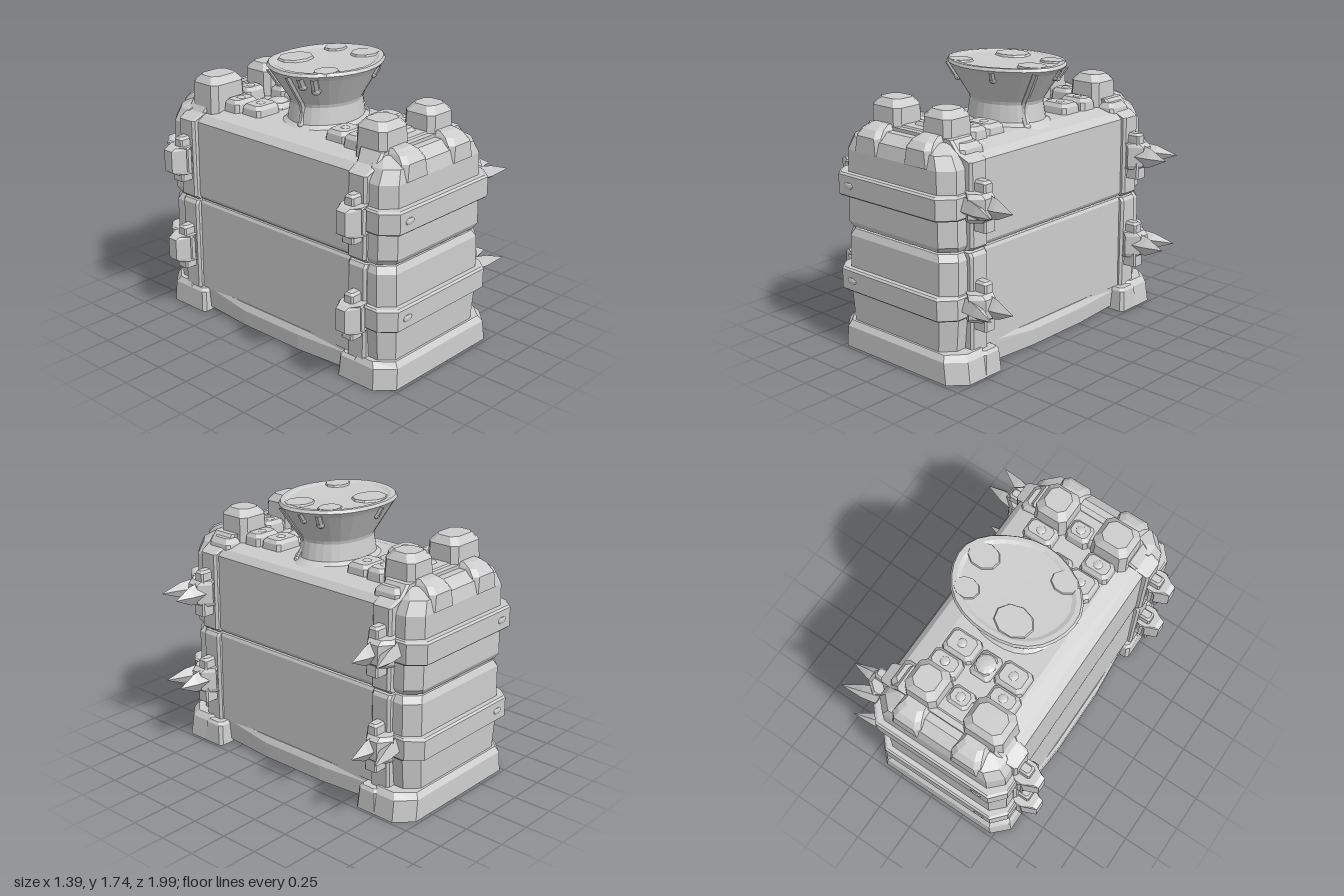
import * as THREE from 'three';

const stone = new THREE.MeshStandardMaterial({ color: 0xcccccc });
stone.name = 'grey stone';

export function createModel() {
  const root = new THREE.Group();
  root.name = 'stoneOven';

  const add = (name, geo, parent = root) => {
    const g = geo.index ? geo.toNonIndexed() : geo;
    g.computeVertexNormals(); // faceted look
    const m = new THREE.Mesh(g, stone);
    m.name = name;
    parent.add(m);
    return m;
  };

  // Stacked chamfered rectangles: each ring is [y, x0, x1, z0, z1, cutX, cutZ]
  const loft = (name, rings, s = 1, parent = root) => {
    const loops = rings.map(([y, x0, x1, za, zb, cx = 0.03, cz = cx]) => {
      const z0 = Math.min(za * s, zb * s), z1 = Math.max(za * s, zb * s);
      return [
        [x1, z0 + cz], [x1, z1 - cz], [x1 - cx, z1], [x0 + cx, z1],
        [x0, z1 - cz], [x0, z0 + cz], [x0 + cx, z0], [x1 - cx, z0],
      ].map(([x, z]) => [x, y, z]);
    });
    const pos = [];
    const tri = (...p) => p.forEach((v) => pos.push(...v));
    const mid = (l) => [0, 1, 2].map((k) => l.reduce((t, v) => t + v[k], 0) / 8);
    const last = loops[loops.length - 1];
    for (let i = 0; i < 8; i++) {
      const j = (i + 1) % 8;
      for (let r = 0; r + 1 < loops.length; r++) {
        const a = loops[r], b = loops[r + 1];
        tri(a[i], b[i], b[j]);
        tri(a[i], b[j], a[j]);
      }
      tri(mid(last), last[j], last[i]);
      tri(mid(loops[0]), loops[0][i], loops[0][j]);
    }
    const g = new THREE.BufferGeometry();
    g.setAttribute('position', new THREE.Float32BufferAttribute(pos, 3));
    return add(name, g, parent);
  };

  // Rough block with a bevelled top; b is the bevel, cut the corner chamfer
  const block = (name, x0, x1, z0, z1, y0, y1, s, parent, b = 0.025, cut = 0.02) =>
    loft(name, [
      [y0, x0 - 0.01, x1 + 0.01, z0 - 0.01, z1 + 0.01, cut],
      [y1 - b * 1.3, x0, x1, z0, z1, cut],
      [y1, x0 + b, x1 - b, z0 + b, z1 - b, cut],
    ], s, parent);

  // Stout four-sided horn between two points
  const horn = (name, a, b, r, flat, parent) => {
    const p = new THREE.Vector3(...a);
    const d = new THREE.Vector3(...b).sub(p);
    const g = new THREE.LatheGeometry(
      [[0, 0], [r, 0], [r * 0.72, 0.5], [0, 1]].map(([x, y]) => new THREE.Vector2(x, y * d.length())), 4);
    g.scale(1, 1, flat);
    g.applyQuaternion(new THREE.Quaternion().setFromUnitVectors(new THREE.Vector3(0, 1, 0), d.normalize()));
    g.translate(p.x, p.y, p.z);
    return add(name, g, parent);
  };

  // Middle body: bowed plinth, two wall tiers and a bevelled roof
  loft('plinth', [
    [0.025, -0.54, 0.415, -0.66, 0.66, 0.035, 0.42],
    [0.13, -0.545, 0.42, -0.66, 0.66, 0.035, 0.42],
    [0.17, -0.525, 0.40, -0.66, 0.66, 0.015, 0.42],
  ]);
  loft('lowerWall', [
    [0.16, -0.52, 0.395, -0.68, 0.68],
    [0.755, -0.515, 0.39, -0.68, 0.68],
    [0.773, -0.505, 0.38, -0.68, 0.68],
  ]);
  loft('seamCore', [[0.7, -0.49, 0.35, -0.8, 0.8], [0.85, -0.49, 0.35, -0.8, 0.8]]);
  loft('upperWall', [
    [0.785, -0.505, 0.38, -0.68, 0.68],
    [0.81, -0.52, 0.395, -0.68, 0.68],
    [1.3, -0.515, 0.39, -0.68, 0.68],
    [1.34, -0.47, 0.35, -0.68, 0.68],
    [1.365, -0.36, 0.24, -0.68, 0.68],
  ]);

  // The two ends mirror each other
  for (const s of [1, -1]) {
    const end = new THREE.Group();
    end.name = s > 0 ? 'frontEnd' : 'backEnd';
    root.add(end);

    loft('foot', [
      [0.005, -0.575, 0.485, 0.6, 0.98, 0.1, 0.1],
      [0.14, -0.565, 0.465, 0.62, 0.975, 0.1, 0.1],
      [0.175, -0.545, 0.435, 0.64, 0.95, 0.09, 0.1],
    ], s, end);
    block('footCornerLeft', 0.33, 0.475, 0.6, 0.75, 0.005, 0.16, s, end, 0.015);
    block('footCornerRight', -0.565, -0.42, 0.6, 0.75, 0.005, 0.16, s, end, 0.015);

    // Tower core and the wider rib behind it
    loft('lowerTower', [
      [0.15, -0.51, 0.36, 0.7, 0.935, 0.075],
      [0.4, -0.53, 0.385, 0.7, 0.945, 0.08],
      [0.73, -0.53, 0.385, 0.7, 0.94, 0.08],
      [0.772, -0.51, 0.36, 0.7, 0.92, 0.08],
    ], s, end);
    loft('upperTower', [
      [0.785, -0.515, 0.365, 0.7, 0.925, 0.08],
      [0.82, -0.53, 0.385, 0.7, 0.945, 0.08],
      [1.27, -0.525, 0.375, 0.7, 0.94, 0.08],
      [1.35, -0.48, 0.33, 0.7, 0.92, 0.07],
      [1.40, -0.41, 0.26, 0.66, 0.85, 0.06],
    ], s, end);
    loft('lowerRib', [
      [0.15, -0.55, 0.42, 0.65, 0.79, 0.015],
      [0.75, -0.55, 0.42, 0.65, 0.79, 0.015],
      [0.772, -0.535, 0.405, 0.65, 0.79, 0.015],
    ], s, end);
    loft('upperRib', [
      [0.785, -0.535, 0.405, 0.65, 0.79, 0.015],
      [0.805, -0.555, 0.425, 0.65, 0.79, 0.015],
      [1.31, -0.555, 0.42, 0.65, 0.79, 0.015],
      [1.35, -0.47, 0.34, 0.64, 0.8, 0.015],
      [1.42, -0.42, 0.28, 0.62, 0.8, 0.015],
    ], s, end);

    // Strap with its side fittings, once on each tier
    for (const y of [0.455, 1.06]) {
      const band = new THREE.Group();
      band.name = y < 1 ? 'lowerStrap' : 'upperStrap';
      end.add(band);
      loft('strap', [
        [y - 0.073, -0.555, 0.4, 0.72, 0.975, 0.08, 0.09],
        [y - 0.062, -0.565, 0.41, 0.71, 0.988, 0.08, 0.09],
        [y + 0.062, -0.565, 0.41, 0.71, 0.988, 0.08, 0.09],
        [y + 0.073, -0.555, 0.4, 0.72, 0.975, 0.08, 0.09],
      ], s, band);
      const rivet = new THREE.SphereGeometry(1, 10, 6);
      rivet.scale(0.04, 0.022, 0.011).translate(-0.4, y, 0.987 * s);
      add('rivet', rivet, band);

      // Plain bracket on the right
      block('rightPlate', -0.625, -0.53, 0.69, 0.76, y - 0.14, y + 0.15, s, band, 0.012, 0.01);
      loft('rightBracket', [
        [y - 0.09, -0.66, -0.5, 0.66, 0.81, 0.06, 0.035],
        [y - 0.065, -0.7, -0.5, 0.65, 0.82, 0.12, 0.05],
        [y + 0.075, -0.7, -0.5, 0.65, 0.82, 0.12, 0.05],
        [y + 0.09, -0.67, -0.5, 0.66, 0.81, 0.06, 0.035],
      ], s, band);

      // Spiked bracket on the left
      block('leftPlate', 0.4, 0.5, 0.69, 0.76, y - 0.15, y + 0.15, s, band, 0.012, 0.01);
      loft('leftBracket', [
        [y - 0.085, 0.37, 0.5, 0.66, 0.83, 0.05, 0.04],
        [y - 0.06, 0.37, 0.53, 0.65, 0.85, 0.08, 0.06],
        [y + 0.06, 0.37, 0.53, 0.65, 0.85, 0.08, 0.06],
        [y + 0.085, 0.37, 0.5, 0.66, 0.83, 0.05, 0.04],
      ], s, band);
      horn('straightHorn', [0.45, y, 0.725 * s], [0.69, y - 0.005, 0.735 * s], 0.085, 0.65, band);
      horn('splayedHorn', [0.4, y, 0.81 * s], [0.67, y, 0.895 * s], 0.07, 0.8, band);
    }

    // Crown stones
    block('tallStoneRight', s > 0 ? -0.41 : -0.44, -0.17, 0.57, 0.79, 1.3, 1.575, s, end, 0.035, 0.035);
    block('tallStoneLeft', 0.02, 0.24, 0.57, 0.79, 1.3, 1.57, s, end, 0.035, 0.035);
    block('crownBridge', -0.2, 0.06, 0.6, 0.78, 1.3, 1.43, s, end);
    for (const [name, x0, x1] of [['lowStoneRight', -0.39, -0.185], ['lowStoneLeft', 0.03, 0.23]]) {
      loft(name, [
        [1.27, x0 - 0.015, x1 + 0.015, 0.74, 0.945, 0.03],
        [1.37, x0, x1, 0.74, 0.94, 0.03],
        [1.41, x0 + 0.015, x1 - 0.015, 0.74, 0.905, 0.03],
        [1.435, x0 + 0.035, x1 - 0.035, 0.74, 0.85, 0.03],
      ], s, end);
    }
    block('shoulderStone', 0.22, 0.35, 0.6, 0.78, 1.3, 1.4, s, end);

    // Studded tiles beside the chimney: [x0, x1, z0, z1, top, stud radius]
    for (const [x0, x1, z0, z1, top, r] of [
      [-0.365, -0.18, 0.445, 0.57, 1.44, 0.03],
      [0.04, 0.235, 0.445, 0.57, 1.44, 0.03],
      [-0.34, -0.15, 0.28, 0.435, 1.43, 0.03],
      [-0.135, 0.005, 0.295, 0.465, 1.4, 0.065],
      [0.02, 0.22, 0.28, 0.435, 1.43, 0.03],
      [-0.14, 0.01, 0.575, 0.7, 1.45, 0.03],
    ]) {
      block('tile', x0, x1, z0, z1, 1.32, top, s, end, 0.018, 0.02);
      const stud = new THREE.SphereGeometry(r, 10, 4, 0, Math.PI * 2, 0, Math.PI / 2);
      stud.scale(1, 0.35, 1).translate((x0 + x1) / 2, top - 0.002, s * (z0 + z1) / 2);
      add('stud', stud, end);
    }
  }

  // Flared oval chimney, closed on top, with a slightly uneven rim
  const chimney = new THREE.Group();
  chimney.name = 'chimney';
  chimney.position.x = -0.02;
  root.add(chimney);
  const profile = [[0.27, 1.34], [0.215, 1.385], [0.2, 1.49], [0.205, 1.51], [0.305, 1.69],
    [0.325, 1.72], [0.315, 1.738], [0.29, 1.738], [0.27, 1.728], [0, 1.725]];
  const bowl = new THREE.LatheGeometry(profile.map((p) => new THREE.Vector2(...p)), 28);
  const v = bowl.attributes.position;
  for (let i = 0; i < v.count; i++) {
    const x = v.getX(i), z = v.getZ(i), a = Math.atan2(z, x);
    const k = 1 + 0.012 * Math.sin(5 * a) + 0.01 * Math.cos(3 * a);
    v.setXYZ(i, x * 1.25 * k, v.getY(i), z * k);
  }
  add('bowl', bowl, chimney);

  // Crusted patches on the lid: [x, z, radius]
  for (const [x, z, r] of [[-0.1, -0.17, 0.12], [0.27, 0.07, 0.1], [-0.21, 0.19, 0.085], [0.24, -0.15, 0.08]]) {
    const patch = new THREE.CylinderGeometry(r * 0.93, r, 0.016, 9);
    patch.scale(1.05, 1, 0.85).translate(x, 1.732, z);
    add('crust', patch, chimney);
  }

  // Drips follow the flare: [angle, lowest height, thickness]
  const radiusAt = (y) => (y > 1.5 ? 0.2 + (y - 1.5) * 0.555 : 0.2 + Math.max(0, 1.4 - y) * 0.8);
  for (const [a, low, t] of [[0.45, 1.36, 0.022], [-0.5, 1.64, 0.022], [-0.15, 1.66, 0.018], [2.5, 1.62, 0.026],
    [2.75, 1.65, 0.024], [3.0, 1.38, 0.02], [1.2, 1.66, 0.018], [3.7, 1.62, 0.022], [4.6, 1.65, 0.018]]) {
    const pts = [];
    for (let i = 0; i <= 5; i++) {
      const y = 1.715 + (low - 1.715) * i / 5, r = radiusAt(y) - 0.004;
      pts.push(new THREE.Vector3(1.25 * r * Math.cos(a), y, r * Math.sin(a)));
    }
    add('drip', new THREE.TubeGeometry(new THREE.CatmullRomCurve3(pts), 10, t, 6), chimney);
    const bead = new THREE.IcosahedronGeometry(t * 1.15, 1);
    bead.translate(pts[5].x, pts[5].y, pts[5].z);
    add('dripEnd', bead, chimney);
  }
  return root;
}
